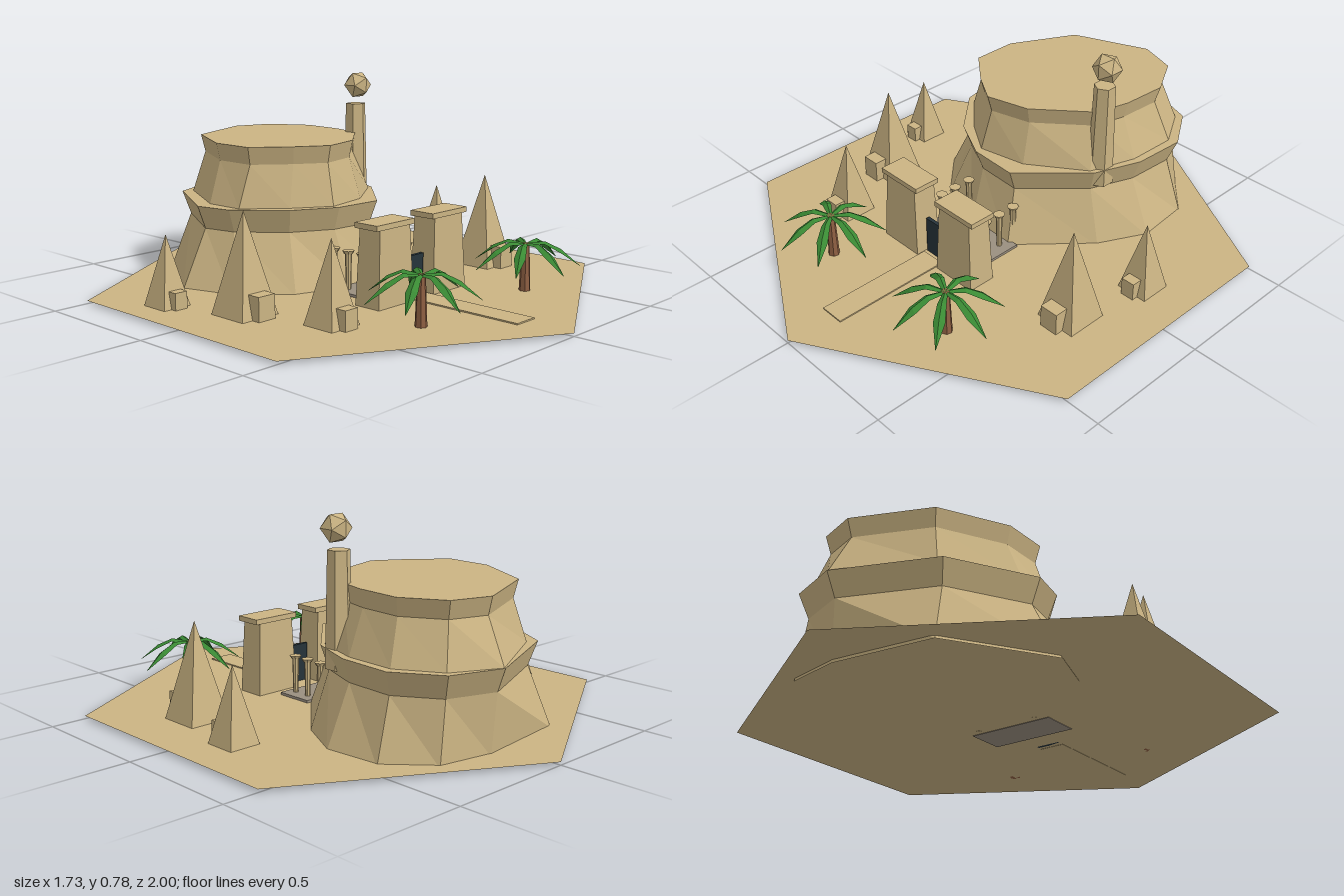
import * as THREE from 'three';

const paint = (name, color, extra = {}) => new THREE.MeshStandardMaterial({ name, color, flatShading: true, ...extra });

// Loft through horizontal rings [{y, pts: [[x, z], ...]}], with a flat lid on the last ring
function loft(rings) {
  const pos = [], n = rings[0].pts.length;
  const at = (r, i) => [r.pts[i % n][0], r.y, r.pts[i % n][1]];
  for (let k = 0; k < rings.length - 1; k++) {
    for (let i = 0; i < n; i++) {
      const a = at(rings[k], i), b = at(rings[k], i + 1), c = at(rings[k + 1], i + 1), d = at(rings[k + 1], i);
      pos.push(...a, ...d, ...c, ...a, ...c, ...b);
    }
  }
  const top = rings[rings.length - 1];
  for (let i = 0; i < n; i++) pos.push(0, top.y, -0.38, ...at(top, i + 1), ...at(top, i));
  const g = new THREE.BufferGeometry();
  g.setAttribute('position', new THREE.Float32BufferAttribute(pos, 3));
  g.computeVertexNormals();
  return g;
}

// Shrink a ring towards the middle of the dome
const shrink = (pts, s) => pts.map(([x, z]) => [x * s, -0.38 + (z + 0.38) * s]);

// Folded leaf pointing along +x, arching up and drooping to a tip
function frondGeometry() {
  const rows = [[0, 0, 0.008], [0.07, 0.008, 0.016], [0.13, -0.02, 0.021], [0.205, -0.085, 0.001]];
  const pos = [];
  for (let k = 0; k < rows.length - 1; k++) {
    const [x0, y0, w0] = rows[k], [x1, y1, w1] = rows[k + 1];
    for (const s of [1, -1]) {
      const a = [x0, y0, 0], b = [x1, y1, 0], c = [x1, y1 - w1 * 0.6, s * w1], d = [x0, y0 - w0 * 0.6, s * w0];
      if (s > 0) pos.push(...a, ...d, ...c, ...a, ...c, ...b);
      else pos.push(...a, ...c, ...d, ...a, ...b, ...c);
    }
  }
  const g = new THREE.BufferGeometry();
  g.setAttribute('position', new THREE.Float32BufferAttribute(pos, 3));
  g.computeVertexNormals();
  return g;
}

export function createModel() {
  const root = new THREE.Group();
  root.name = 'desertSettlement';
  const sand = paint('sand', 0xcbb483);
  const sandSheet = paint('sandGround', 0xcbb483, { side: THREE.DoubleSide });
  const stone = paint('greyStone', 0x9a8f80);
  const dark = paint('darkDoor', 0x26333a);
  const bark = paint('bark', 0x8f6043);
  const leaf = paint('leafGreen', 0x3a8a34, { side: THREE.DoubleSide });

  const add = (name, geo, mat, x = 0, y = 0, z = 0, parent = root) => {
    const m = new THREE.Mesh(geo, mat);
    m.name = name;
    m.position.set(x, y, z);
    parent.add(m);
    return m;
  };
  const box = (w, h, d) => new THREE.BoxGeometry(w, h, d);
  const G = 0.011;

  // Hexagonal ground sheet and the road to the gate
  const hex = new THREE.CircleGeometry(1, 6, Math.PI / 2);
  hex.rotateX(-Math.PI / 2);
  add('ground', hex, sandSheet, 0, G, 0);
  add('road', box(0.1, 0.006, 0.48), sand, 0, G + 0.002, 0.57);

  // Two-tiered dome: battered wall, flared rim, ledge, upper wall, flared rim, roof
  const base = [[0.1, -0.79], [0.31, -0.75], [0.45, -0.6], [0.47, -0.38], [0.375, -0.19], [0.14, 0.07],
    [-0.07, 0.065], [-0.29, -0.01], [-0.455, -0.18], [-0.52, -0.385], [-0.29, -0.745]];
  const rim = [[0.1, -0.84], [0.3, -0.77], [0.41, -0.6], [0.4, -0.385], [0.33, -0.2], [0.11, 0.03],
    [-0.09, 0.02], [-0.26, -0.07], [-0.41, -0.24], [-0.44, -0.385], [-0.27, -0.69]];
  const upper = [[0.1, -0.835], [0.28, -0.745], [0.375, -0.585], [0.37, -0.385], [0.31, -0.2], [0.1, -0.05],
    [-0.09, -0.01], [-0.23, -0.1], [-0.37, -0.23], [-0.375, -0.39], [-0.23, -0.67]];
  const roof = [[0.09, -0.77], [0.24, -0.72], [0.33, -0.565], [0.32, -0.385], [0.285, -0.25], [0.09, -0.08],
    [-0.08, -0.035], [-0.2, -0.11], [-0.33, -0.22], [-0.33, -0.4], [-0.2, -0.65]];
  add('dome', loft([
    { y: 0, pts: base }, { y: 0.225, pts: shrink(rim, 0.92) }, { y: 0.315, pts: rim }, { y: 0.315, pts: upper },
    { y: 0.475, pts: shrink(roof, 0.95) }, { y: 0.543, pts: roof },
  ]), sand);

  // Lookout tower with a faceted ball floating above it
  add('lookoutTower', new THREE.CylinderGeometry(0.041, 0.05, 0.42, 6), sand, 0.303, 0.45, -0.265);
  add('towerBall', new THREE.IcosahedronGeometry(0.057, 0), sand, 0.312, 0.735, -0.262);

  // Gate: two tapered towers with slab caps and a dark door between them
  for (const s of [-1, 1]) {
    const geo = new THREE.CylinderGeometry(0.08 * Math.SQRT2, 0.094 * Math.SQRT2, 0.285, 4);
    geo.rotateY(Math.PI / 4);
    geo.scale(1, 1, 0.6);
    add('gateTower', geo, sand, s * 0.15, G + 0.1425, 0.303);
    add('gateTowerCap', box(0.2, 0.02, 0.108), sand, s * 0.152, 0.305, 0.303);
  }
  add('gateDoor', box(0.1, 0.153, 0.015), dark, 0, G + 0.0765, 0.307);

  // Stone porch with two rows of flaring posts
  add('porchFloor', box(0.345, 0.012, 0.155), stone, 0, G + 0.004, 0.128);
  for (const x of [-0.125, 0.125]) {
    for (const z of [0.027, 0.1, 0.17]) {
      add('porchPost', new THREE.CylinderGeometry(0.013, 0.01, 0.15, 8), sand, x, 0.085, z);
      add('porchPostCap', new THREE.CylinderGeometry(0.023, 0.017, 0.012, 8), sand, x, 0.162, z);
    }
  }

  // Pyramid huts: x, z, half width, peak height, door width, door height
  const huts = [[-0.705, -0.24, 0.058, 0.27, 0.052, 0.063], [-0.59, 0.045, 0.082, 0.378, 0.075, 0.088],
    [-0.477, 0.355, 0.067, 0.31, 0.06, 0.073], [0.587, 0.19, 0.082, 0.378, 0.075, 0.088],
    [0.66, -0.12, 0.063, 0.29, 0.055, 0.07]];
  for (const [x, z, r, peak, dw, dh] of huts) {
    const hut = new THREE.Group();
    hut.name = 'pyramidHut';
    hut.position.set(x, G, z);
    root.add(hut);
    const cone = new THREE.ConeGeometry(r * Math.SQRT2, peak - G, 4);
    cone.rotateY(Math.PI / 4);
    add('hutBody', cone, sand, 0, (peak - G) / 2, 0, hut);
    add('hutPorch', box(dw, dh, r * 0.8), sand, 0, dh / 2, r, hut);
  }

  // Palms with seven drooping fronds each
  const frond = frondGeometry();
  for (const [x, z] of [[-0.285, 0.585], [0.343, 0.565]]) {
    const palm = new THREE.Group();
    palm.name = 'palm';
    palm.position.set(x, G, z);
    root.add(palm);
    add('trunk', new THREE.CylinderGeometry(0.015, 0.022, 0.18, 7), bark, 0, 0.09, 0, palm);
    for (let i = 0; i < 7; i++) {
      add('frond', frond, leaf, 0, 0.18, 0, palm).rotation.y = i * Math.PI * 2 / 7;
    }
  }
  return root;
}
